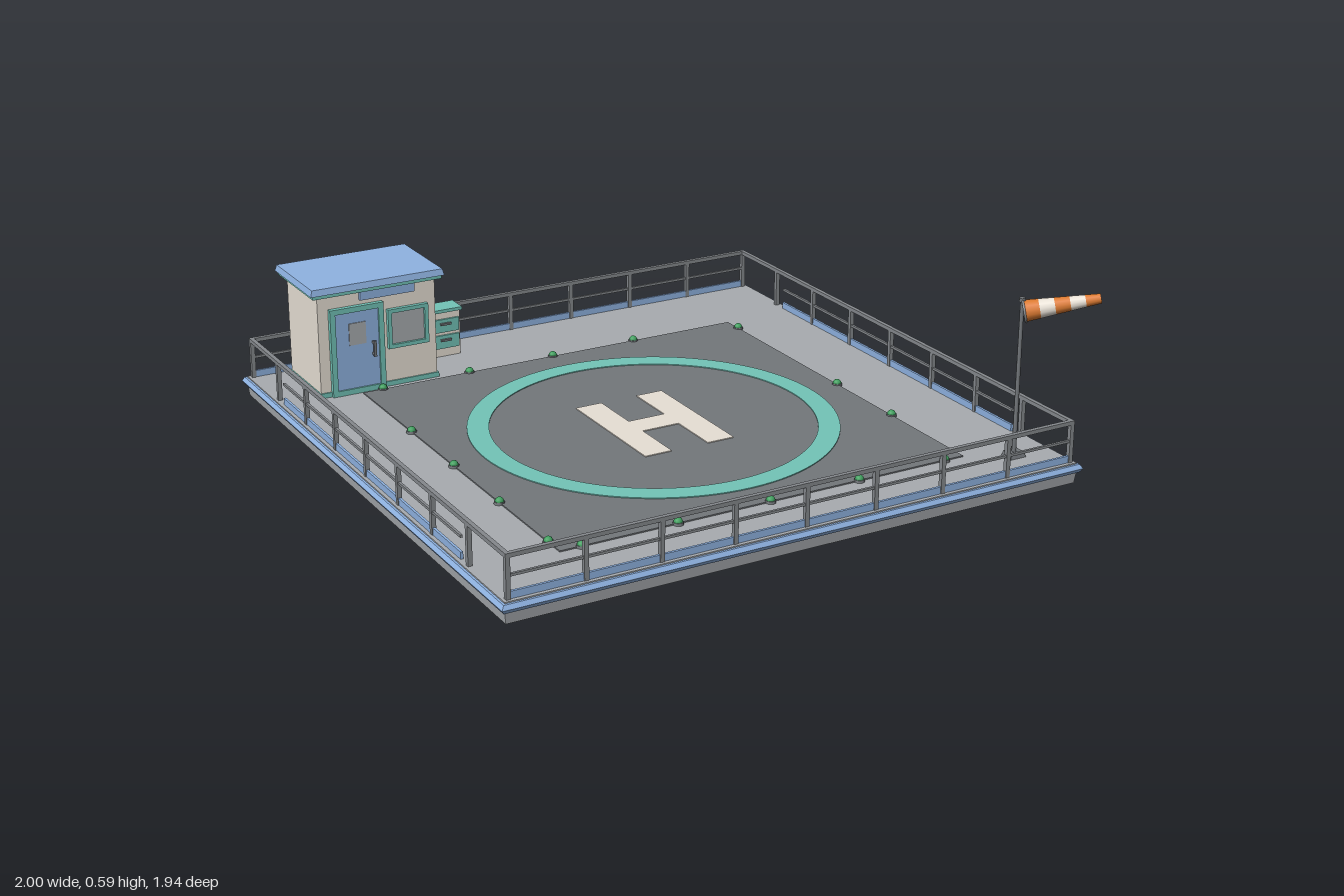
import * as THREE from 'three';

const mat = (name, color, side = THREE.FrontSide) => {
  const m = new THREE.MeshStandardMaterial({ color, side });
  m.name = name;
  return m;
};

export function createModel() {
  const blue = mat('blue paint', 0x8fb3e2);
  const teal = mat('teal paint', 0x73c4b8);
  const cream = mat('cream', 0xe7e0d5);
  const deckGrey = mat('deck grey', 0xa8acb0);
  const padGrey = mat('pad grey', 0x73777b);
  const railGrey = mat('rail grey', 0x85898d);
  const green = mat('green lamp', 0x3f9f5e);
  const orange = mat('orange cloth', 0xdc7a30, THREE.DoubleSide);
  const cloth = mat('pale cloth', 0xe7e0d5, THREE.DoubleSide);

  const root = new THREE.Group();
  root.name = 'helipad';
  const group = (name) => {
    const g = new THREE.Group();
    g.name = name;
    root.add(g);
    return g;
  };
  const add = (parent, name, geo, material, x = 0, y = 0, z = 0) => {
    const m = new THREE.Mesh(geo, material);
    m.name = name;
    m.position.set(x, y, z);
    parent.add(m);
    return m;
  };
  // Box given by its limits; inset values narrow the top or bottom face
  const block = (parent, name, material, [x0, x1], [y0, y1], [z0, z1], topInset = 0, bottomInset = 0) => {
    const w = x1 - x0, h = y1 - y0, d = z1 - z0;
    const geo = new THREE.BoxGeometry(w, h, d);
    const p = geo.attributes.position;
    for (let i = 0; i < p.count; i++) {
      const inset = p.getY(i) > 0 ? topInset : bottomInset;
      p.setX(i, p.getX(i) - Math.sign(p.getX(i)) * inset);
      p.setZ(i, p.getZ(i) - Math.sign(p.getZ(i)) * inset);
    }
    geo.computeVertexNormals();
    return add(parent, name, geo, material, (x0 + x1) / 2, (y0 + y1) / 2, (z0 + z1) / 2);
  };

  const cx = -0.027, deckY = 0.066;

  // Stepped platform
  const platform = group('platform');
  const layer = (name, material, half, y0, y1, top, bottom) =>
    block(platform, name, material, [cx - half, cx + half], [y0, y1], [-half, half], top, bottom);
  layer('base', deckGrey, 0.958, 0, 0.036, 0, 0.004);
  layer('edgeTrimLower', blue, 0.972, 0.036, 0.049, 0, 0.008);
  layer('edgeTrimUpper', blue, 0.972, 0.049, 0.062, 0.008, 0);
  layer('deck', deckGrey, 0.957, 0.06, deckY, 0, 0);

  // Landing pad with painted markings
  const pad = group('landingPad');
  const pz = 0.065, half = 0.687;
  block(pad, 'padSurface', padGrey, [cx - half, cx + half], [deckY, 0.07], [pz - half, pz + half]);
  const ringShape = new THREE.Shape().absarc(0, 0, 0.583, 0, Math.PI * 2);
  ringShape.holes.push(new THREE.Path().absarc(0, 0, 0.514, 0, Math.PI * 2, true));
  const ringGeo = new THREE.ExtrudeGeometry(ringShape, { depth: 0.003, bevelEnabled: false, curveSegments: 48 });
  add(pad, 'paintedRing', ringGeo.rotateX(-Math.PI / 2), teal, cx, 0.07, pz);
  for (const s of [-1, 1]) {
    const x = cx + s * 0.11;
    block(pad, 'markingUpright', cream, [x - 0.046, x + 0.046], [0.07, 0.073], [pz - 0.225, pz + 0.225]);
  }
  block(pad, 'markingBar', cream, [cx - 0.064, cx + 0.064], [0.07, 0.073], [pz - 0.045, pz + 0.045]);

  // Pad edge lamps
  const lamps = group('edgeLamps');
  const step = 0.309;
  const lamp = (x, z) => {
    add(lamps, 'lampFoot', new THREE.CylinderGeometry(0.016, 0.017, 0.008, 10), padGrey, x, 0.07, z);
    const dome = new THREE.SphereGeometry(0.014, 10, 5, 0, Math.PI * 2, 0, Math.PI / 2);
    add(lamps, 'lampDome', dome, green, x, 0.073, z);
  };
  [-2, -1, 0, 1].forEach((i) => lamp(cx + i * step, pz - half));
  [-2, -1, 0, 1, 2].forEach((i) => lamp(cx + i * step, pz + half));
  [-1, 0, 1, 2].forEach((i) => lamp(cx - half, pz + i * step));
  [-2, 0, 1].forEach((i) => lamp(cx + half, pz + i * step));

  // Railings: posts, top rail, mid rail and kick plate on each side
  const R = 0.941;
  for (let side = 0; side < 4; side++) {
    const rail = group('railing' + (side + 1));
    rail.position.x = cx;
    rail.rotation.y = side * Math.PI / 2;
    const low = side % 2 ? 0.66 : R;
    for (let i = 0; i < 8; i++) {
      const x = -R + i * R / 4;
      block(rail, 'post', railGrey, [x - 0.007, x + 0.007], [deckY, 0.19], [R - 0.007, R + 0.007]);
    }
    block(rail, 'topRail', railGrey, [-R - 0.007, R + 0.007], [0.188, 0.201], [R - 0.007, R + 0.007]);
    block(rail, 'midRail', railGrey, [-low, low], [0.131, 0.139], [R - 0.004, R + 0.004]);
    block(rail, 'kickPlate', blue, [-low, low], [deckY, 0.088], [R - 0.004, R + 0.004]);
  }

  // Control hut
  const hut = group('hut');
  const wallX = [-0.848, -0.44], wallZ = [-0.905, -0.65], f = -0.65;
  block(hut, 'walls', cream, wallX, [deckY, 0.412], wallZ);
  block(hut, 'plinth', teal, [-0.853, -0.435], [deckY, 0.082], [-0.91, -0.645]);
  block(hut, 'roofFascia', teal, [-0.868, -0.422], [0.408, 0.422], [-0.929, -0.631]);
  block(hut, 'roofSlab', blue, [-0.876, -0.414], [0.42, 0.441], [-0.937, -0.625], 0.005);
  block(hut, 'nameBoard', blue, [-0.705, -0.515], [0.378, 0.407], [f, f + 0.012]);

  // Rectangular frame of four bars on the front wall
  const frame = (parent, name, x0, x1, y0, y1, t, z, d) => {
    block(parent, name, teal, [x0, x0 + t], [y0, y1], [z, z + d]);
    block(parent, name, teal, [x1 - t, x1], [y0, y1], [z, z + d]);
    block(parent, name, teal, [x0 + t, x1 - t], [y1 - t, y1], [z, z + d]);
    block(parent, name, teal, [x0 + t, x1 - t], [y0, y0 + t], [z, z + d]);
  };
  frame(hut, 'doorFrame', -0.812, -0.627, deckY, 0.362, 0.018, f, 0.016);
  block(hut, 'door', blue, [-0.794, -0.645], [0.084, 0.344], [f, f + 0.01]);
  block(hut, 'doorWindow', deckGrey, [-0.748, -0.69], [0.232, 0.306], [f + 0.01, f + 0.013]);
  block(hut, 'doorHandle', padGrey, [-0.67, -0.661], [0.185, 0.238], [f + 0.02, f + 0.028]);
  for (const y of [0.189, 0.228])
    block(hut, 'handleMount', padGrey, [-0.67, -0.661], [y, y + 0.007], [f + 0.009, f + 0.021]);
  frame(hut, 'windowFrame', -0.612, -0.47, 0.196, 0.33, 0.013, f, 0.014);
  block(hut, 'windowGlass', deckGrey, [-0.6, -0.482], [0.208, 0.318], [f, f + 0.005]);

  // Equipment cabinet
  const cab = group('cabinet');
  block(cab, 'cabinetBody', cream, [-0.392, -0.28], [deckY, 0.222], [-0.875, -0.81]);
  block(cab, 'cabinetLid', teal, [-0.398, -0.273], [0.222, 0.233], [-0.88, -0.804]);
  for (const y of [0.096, 0.153]) {
    block(cab, 'drawer', teal, [-0.386, -0.286], [y, y + 0.046], [-0.81, -0.803]);
    block(cab, 'drawerHandle', padGrey, [-0.355, -0.317], [y + 0.027, y + 0.034], [-0.803, -0.794]);
  }

  // Windsock on its mast
  const sock = group('windsock');
  const mx = 0.797, mz = 0.822;
  block(sock, 'mastFoot', padGrey, [mx - 0.028, mx + 0.028], [deckY, 0.082], [mz - 0.024, mz + 0.024], 0.004);
  add(sock, 'mast', new THREE.CylinderGeometry(0.006, 0.007, 0.49, 8), padGrey, mx, 0.325, mz);
  add(sock, 'mastCap', new THREE.CylinderGeometry(0.01, 0.01, 0.012, 8), padGrey, mx, 0.567, mz);
  const start = new THREE.Vector3(mx + 0.006, 0.532, mz + 0.004);
  const axis = new THREE.Vector3(0.988, 0.577, 0.95).sub(start);
  const cone = new THREE.Group();
  cone.name = 'sockCone';
  cone.position.copy(start);
  cone.quaternion.setFromUnitVectors(new THREE.Vector3(0, 1, 0), axis.clone().normalize());
  sock.add(cone);
  const len = axis.length(), radius = (t) => 0.034 - 0.019 * t;
  for (let i = 0; i < 5; i++) {
    const geo = new THREE.CylinderGeometry(radius((i + 1) / 5), radius(i / 5), len / 5, 14, 1, true);
    add(cone, 'sockBand', geo, i % 2 ? cloth : orange, 0, (i + 0.5) * len / 5, 0);
  }
  add(cone, 'mouthRing', new THREE.TorusGeometry(0.034, 0.004, 6, 16).rotateX(Math.PI / 2), railGrey);

  return root;
}
